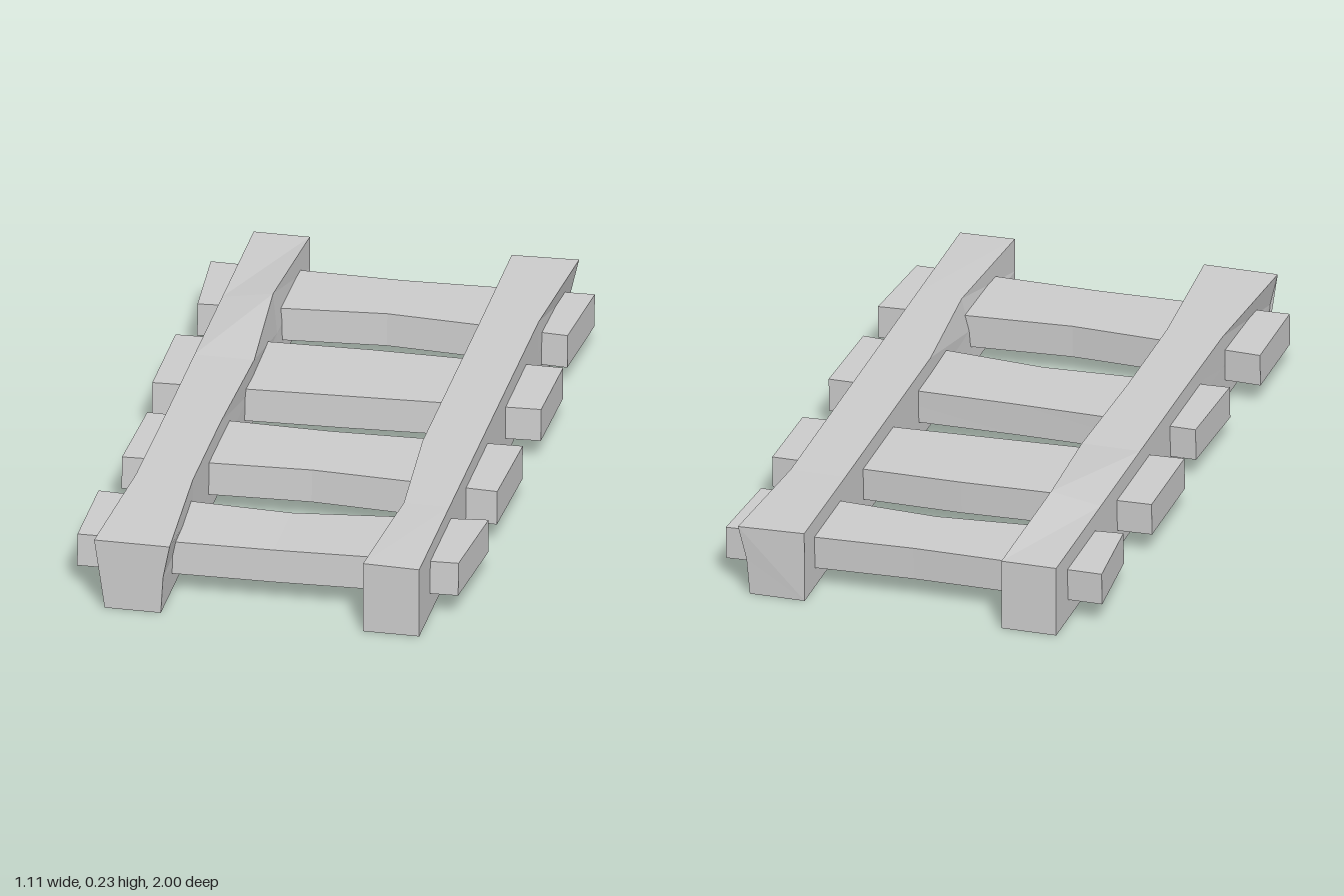
import * as THREE from 'three';

const material = new THREE.MeshStandardMaterial({ color: 0xcccccc, flatShading: true });

// Skins a list of equal rings (counter-clockwise seen from the far end) and caps both ends.
function loft(name, rings) {
  const pos = [];
  const tri = (...pts) => pts.forEach((p) => pos.push(...p));
  const n = rings[0].length;
  for (let s = 0; s < rings.length - 1; s++) {
    const p = rings[s], q = rings[s + 1];
    for (let i = 0; i < n; i++) {
      const j = (i + 1) % n;
      tri(p[i], p[j], q[j]);
      tri(p[i], q[j], q[i]);
    }
  }
  const first = rings[0], last = rings[rings.length - 1];
  for (let i = 1; i < n - 1; i++) {
    tri(first[0], first[i + 1], first[i]);
    tri(last[0], last[i], last[i + 1]);
  }
  const geometry = new THREE.BufferGeometry();
  geometry.setAttribute('position', new THREE.Float32BufferAttribute(pos, 3));
  geometry.computeVertexNormals();
  const mesh = new THREE.Mesh(geometry, material);
  mesh.name = name;
  return mesh;
}

// Rail along z: straight base from x0 to x1, hand-hewn top edge.
// Each station: [z, top x low, top x high, top y low, top y high, z of top low, z of top high]
function rail(name, x0, x1, stations) {
  const mix = THREE.MathUtils.lerp;
  return loft(name, stations.map(([z, a, b, ya, yb, za = z, zb = z]) => [
    [x0, 0, z], [x1, 0, z],
    [mix(x1, b, 0.25), 0.11, mix(z, zb, 0.5)],
    [b, yb, zb], [a, ya, za],
    [mix(x0, a, 0.25), 0.11, mix(z, za, 0.5)],
  ]));
}

// Crossbar along x. Each station: [x at back, x at front, z back, z front, y bottom, y top]
function crossbar(name, stations) {
  return loft(name, stations.map(([xb, xf, zb, zf, y0, y1]) => [
    [xb, y0, zb + 0.005], [xb, y1, zb], [xf, y1, zf - 0.005], [xf, y0, zf],
  ]));
}

export function createModel() {
  const group = new THREE.Group();
  group.name = 'woodenTrack';

  // Two long rails
  group.add(rail('rightRail', -0.45, -0.29, [
    [-0.99, -0.45, -0.29, 0.207, 0.207],
    [-0.57, -0.45, -0.305, 0.207, 0.232],
    [-0.2, -0.45, -0.28, 0.207, 0.207],
    [0.2, -0.45, -0.29, 0.207, 0.207],
    [0.57, -0.452, -0.29, 0.207, 0.207],
    [1, -0.48, -0.265, 0.207, 0.207],
  ]));
  group.add(rail('leftRail', 0.285, 0.445, [
    [-0.985, 0.285, 0.475, 0.21, 0.21, -0.99, -1],
    [-0.6, 0.285, 0.445, 0.207, 0.207],
    [-0.2, 0.285, 0.445, 0.207, 0.207],
    [0.2, 0.285, 0.445, 0.207, 0.207],
    [0.59, 0.315, 0.445, 0.207, 0.207],
    [0.995, 0.285, 0.445, 0.21, 0.207],
  ]));

  // Four crossbars from back to front, poking out through the rails
  const bars = [
    [[-0.55, -0.53, -0.885, -0.61, 0.06, 0.155], [0, 0, -0.88, -0.66, 0.058, 0.155],
      [0.54, 0.52, -0.905, -0.63, 0.058, 0.155]],
    [[-0.55, -0.55, -0.415, -0.1, 0.06, 0.155], [0, 0, -0.435, -0.13, 0.058, 0.155],
      [0.55, 0.545, -0.435, -0.16, 0.06, 0.155]],
    [[-0.525, -0.535, 0.08, 0.375, 0.06, 0.155], [0, 0, 0.09, 0.345, 0.058, 0.155],
      [0.545, 0.535, 0.08, 0.38, 0.06, 0.16]],
    [[-0.555, -0.555, 0.59, 0.875, 0.06, 0.155], [0, 0, 0.615, 0.86, 0.058, 0.155],
      [0.55, 0.525, 0.56, 0.85, 0.065, 0.163]],
  ];
  bars.forEach((stations, i) => group.add(crossbar(`crossbar${i + 1}`, stations)));

  return group;
}
